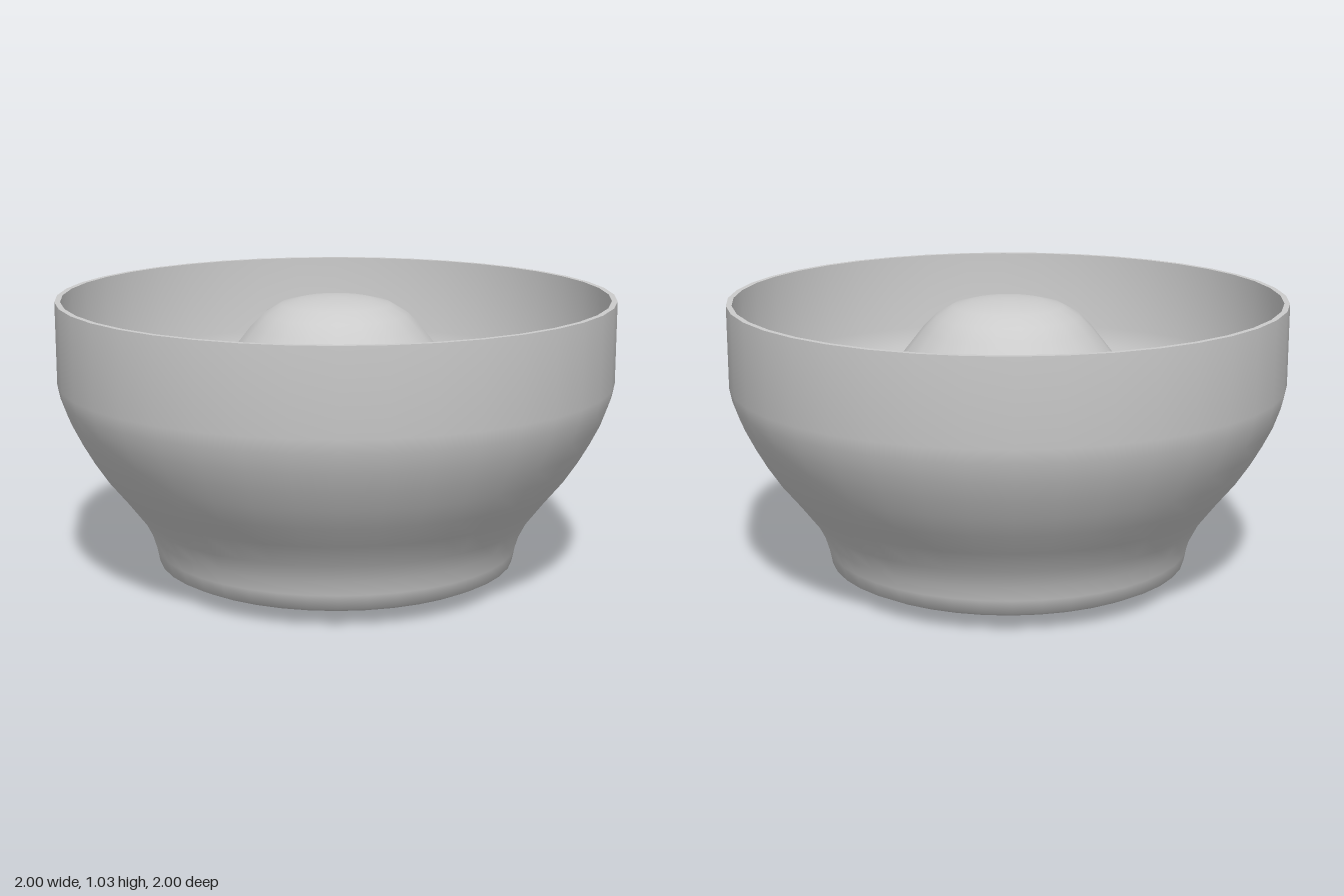
import * as THREE from 'three';
import { toCreasedNormals } from 'three/addons/utils/BufferGeometryUtils.js';

// Revolve a profile of [radius, height] points, keeping sharp edges sharp
function revolved(name, profile, sides, crease) {
  const points = profile.map(([r, y]) => new THREE.Vector2(r, y));
  const geometry = toCreasedNormals(new THREE.LatheGeometry(points, sides), crease);
  const mesh = new THREE.Mesh(geometry, new THREE.MeshStandardMaterial({ color: 0xcccccc }));
  mesh.name = name;
  return mesh;
}

export function createModel() {
  const group = new THREE.Group();
  group.name = 'bowl';

  const bowlProfile = [
    // recess under the base
    [0, 0.1], [0.22, 0.1], [0.29, 0.085], [0.33, 0.05], [0.355, 0.005],
    // foot
    [0.4, 0], [0.61, 0.05], [0.65, 0.07], [0.66, 0.12], [0.677, 0.175],
    // outer wall
    [0.71, 0.24], [0.775, 0.325], [0.84, 0.405], [0.89, 0.48], [0.93, 0.55],
    [0.965, 0.62], [0.99, 0.69], [1, 0.74], [1, 1.035],
    // rim and inner wall
    [0.98, 1.035], [0.98, 0.74], [0.965, 0.67], [0.925, 0.59], [0.87, 0.52],
    [0.79, 0.465], [0.7, 0.445], [0.6, 0.44], [0, 0.44],
  ];
  group.add(revolved('bowlShell', bowlProfile, 40, 1.1));

  // cone with a rounded top rising from the floor
  const coneProfile = [
    [0.65, 0.42], [0.65, 0.475], [0.53, 0.63], [0.41, 0.79], [0.305, 0.925],
    [0.26, 0.97], [0.2, 1.005], [0.13, 1.022], [0.06, 1.03], [0, 1.032],
  ];
  group.add(revolved('centreCone', coneProfile, 20, 0.8));

  return group;
}
